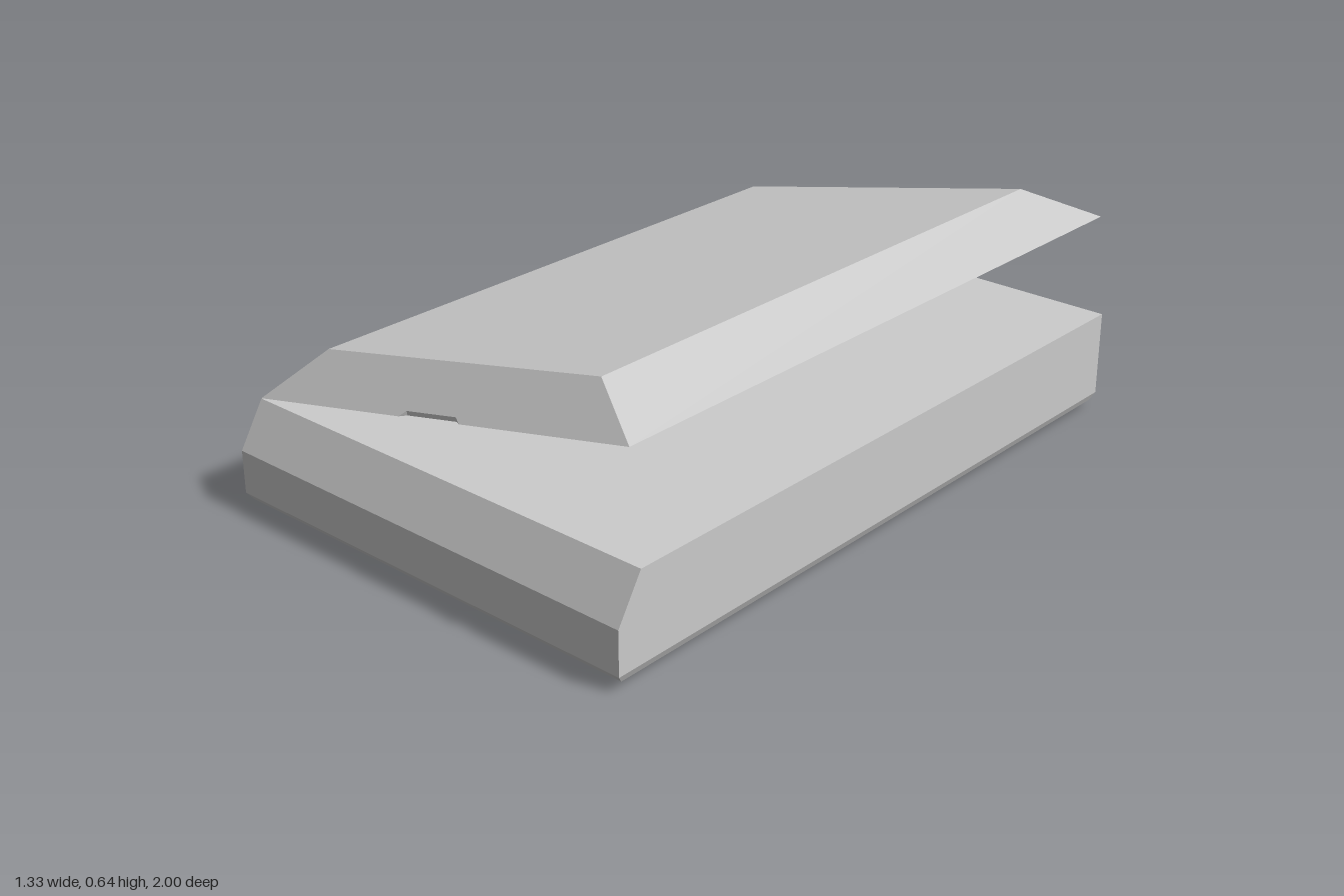
import * as THREE from 'three';

const material = new THREE.MeshStandardMaterial({ color: 0xcccccc, flatShading: true });

// Flat-faced solid from polygons, each fanned from its first corner
function solid(name, faces) {
  const positions = [];
  for (const f of faces)
    for (let i = 1; i < f.length - 1; i++) positions.push(...f[0], ...f[i], ...f[i + 1]);
  const geometry = new THREE.BufferGeometry();
  geometry.setAttribute('position', new THREE.Float32BufferAttribute(positions, 3));
  geometry.computeVertexNormals();
  const mesh = new THREE.Mesh(geometry, material);
  mesh.name = name;
  return mesh;
}

// Rectangle at height y, anticlockwise seen from above
const ring = (y, x0, x1, zFront, zBack) =>
  [[x0, y, zFront], [x1, y, zFront], [x1, y, zBack], [x0, y, zBack]];

// Body: stacked rectangles with a chamfered foot and a sloping front lip
function createBody() {
  const rings = [
    [0, 0.63, 0.935, -0.935],
    [0.02, 0.655, 0.983, -0.983],
    [0.042, 0.665, 1, -1],
    [0.163, 0.665, 1, -1],
    [0.285, 0.665, 0.925, -1],
  ].map(([y, x, f, b]) => ring(y, -x, x, f, b));
  const faces = [[...rings[0]].reverse(), rings[rings.length - 1]];
  for (let r = 0; r < rings.length - 1; r++)
    for (let i = 0; i < 4; i++) {
      const j = (i + 1) % 4;
      faces.push([rings[r][i], rings[r][j], rings[r + 1][j], rings[r + 1][i]]);
    }
  return solid('body', faces);
}

// Lid: bevelled slab hinged along its left edge, with a finger notch in front
function createLid() {
  const length = 1.331, height = 0.108, inset = 0.172;
  const front = 0.925, depth = 0.012, lift = 0.0113, mid = length / 2;
  const [D, C, B, A] = ring(0, 0, length, front, -1);
  const [E, F, G, H] = ring(height, inset, length - inset, 0.81, -0.88);
  // Notch corners on the rim, on the underside and on the front bevel
  const n1 = [mid - 0.11, 0, front], n4 = [mid + 0.11, 0, front];
  const n2 = [mid - 0.09, 0, front - depth], n3 = [mid + 0.09, 0, front - depth];
  const m2 = [n2[0], lift, n2[2]], m3 = [n3[0], lift, n3[2]];
  const lid = solid('lid', [
    [A, B, C, n4, n3, n2, n1, D],                            // underside
    [E, F, G, H],                                            // top
    [C, B, G, F], [B, A, H, G], [A, D, E, H],                // side and back bevels
    [E, D, n1, m2], [E, m2, m3, F], [F, m3, n4, C],          // front bevel
    [n1, n2, m2], [n2, n3, m3, m2], [n3, n4, m3],            // notch
  ]);
  lid.position.set(-0.665, 0.286, 0);
  lid.rotation.z = 0.2158;
  return lid;
}

export function createModel() {
  const model = new THREE.Group();
  model.name = 'hingedCase';
  model.add(createBody(), createLid());
  return model;
}
